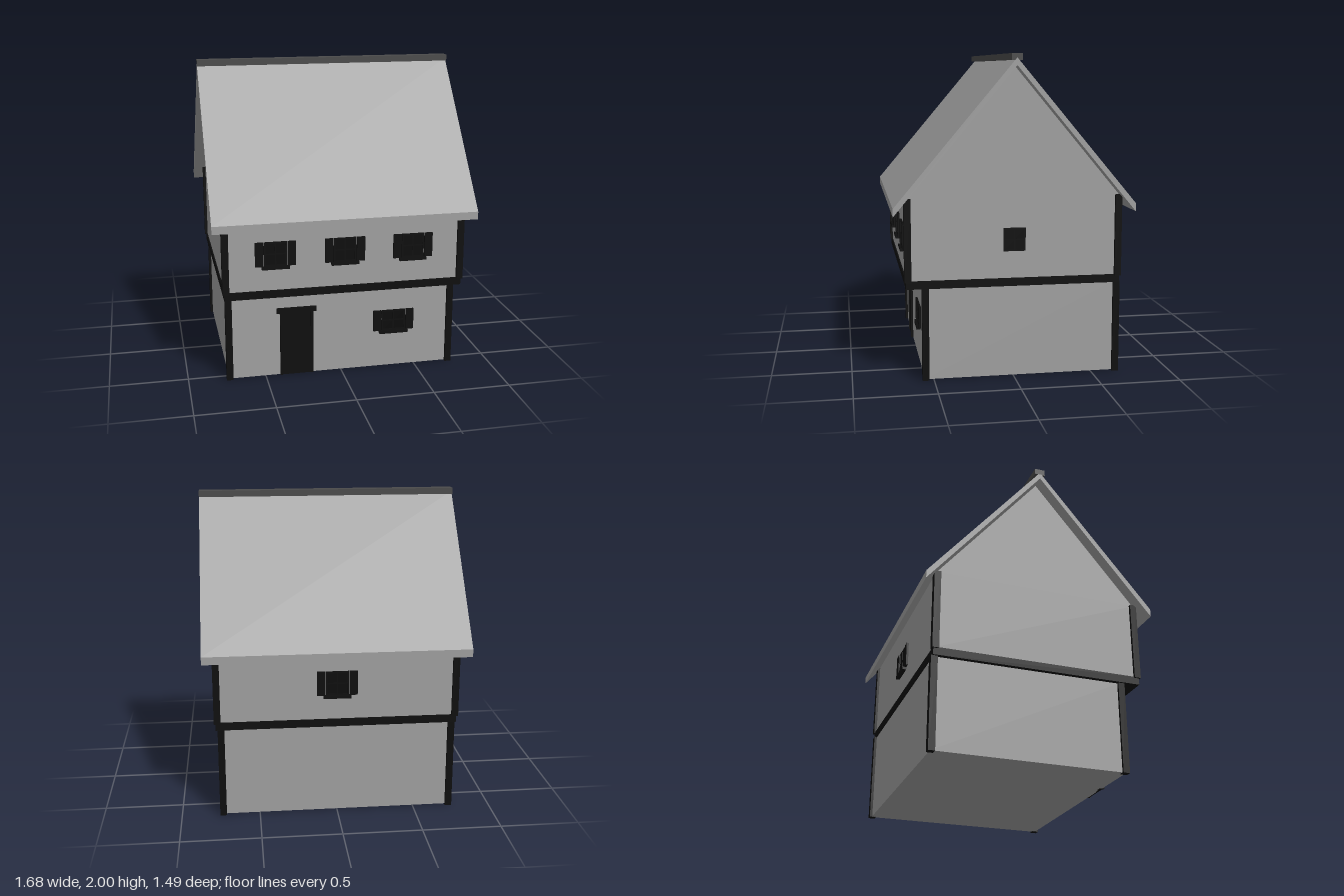
import * as THREE from 'three';

export function createModel() {
  const house = new THREE.Group();
  house.name = 'house';
  const mat = (name, color) => Object.assign(new THREE.MeshStandardMaterial({ color }), { name });
  const plaster = mat('plaster', 0xa0a0a0);
  const roofing = mat('roofing', 0xa0a0a0);
  const ridgeGrey = mat('ridge grey', 0x4a4a4a);
  const timber = mat('dark timber', 0x0e0e0e);
  const glass = mat('dark glass', 0x0b0b0b);

  const add = (parent, name, geometry, material) => {
    const mesh = new THREE.Mesh(geometry, material);
    mesh.name = name;
    parent.add(mesh);
    return mesh;
  };
  // box given by its limits on each axis
  const box = (parent, name, material, [x0, x1], [y0, y1], [z0, z1]) => {
    const mesh = add(parent, name, new THREE.BoxGeometry(x1 - x0, y1 - y0, z1 - z0), material);
    mesh.position.set((x0 + x1) / 2, (y0 + y1) / 2, (z0 + z1) / 2);
    return mesh;
  };
  // symmetric (z, y) profile extruded along x
  const prism = (name, material, points, halfLength) => {
    const shape = new THREE.Shape(points.map(([z, y]) => new THREE.Vector2(z, y)));
    const geometry = new THREE.ExtrudeGeometry(shape, { depth: 2 * halfLength, bevelEnabled: false });
    geometry.translate(0, 0, -halfLength).rotateY(Math.PI / 2);
    return add(house, name, geometry, material);
  };

  // storeys, with the upper one overhanging at the front
  box(house, 'lowerWalls', plaster, [-0.74, 0.74], [0.005, 0.59], [-0.66, 0.555]);
  box(house, 'floorBeam', timber, [-0.768, 0.768], [0.582, 0.632], [-0.668, 0.668]);
  box(house, 'upperWalls', plaster, [-0.76, 0.76], [0.632, 1.137], [-0.66, 0.66]);

  // corner posts
  for (const s of [-1, 1]) {
    for (const z of [0.55, -0.656])
      box(house, 'lowerPost', timber, [s * 0.735 - 0.021, s * 0.735 + 0.021], [0, 0.585], [z - 0.021, z + 0.021]);
    for (const z of [0.656, -0.656])
      box(house, 'upperPost', timber, [s * 0.757 - 0.021, s * 0.757 + 0.021], [0.625, 1.137], [z - 0.021, z + 0.021]);
  }

  // gables and roof
  prism('gable', plaster, [[-0.66, 1.137], [0.66, 1.137], [0, 1.925]], 0.76);
  prism('roof', roofing, [
    [0.745, 1.09], [0, 1.975], [-0.745, 1.09], [-0.745, 1.04], [0, 1.93], [0.745, 1.04],
  ], 0.84);
  box(house, 'ridgeCap', ridgeGrey, [-0.84, 0.84], [1.96, 2], [-0.034, 0.034]);

  // window facing +z, its origin at the wall surface and the pane centre
  function makeWindow(name, w, h, shuttered = true) {
    const g = new THREE.Group();
    g.name = name;
    box(g, 'pane', glass, [-w, w], [-h, h], [-0.01, 0.006]);
    for (const s of [-1, 1]) {
      box(g, 'frameSide', timber, [s * (w - 0.005) - 0.005, s * (w - 0.005) + 0.005], [-h, h], [-0.01, 0.01]);
      box(g, 'frameRail', timber, [-w, w], [s * (h - 0.005) - 0.005, s * (h - 0.005) + 0.005], [-0.01, 0.01]);
    }
    box(g, 'mullion', timber, [-0.004, 0.004], [-h, h], [-0.01, 0.009]);
    box(g, 'crossbar', timber, [-w, w], [-0.004, 0.004], [-0.01, 0.009]);
    if (shuttered) {
      for (const s of [-1, 1]) {
        const c = s * (w + 0.03);
        box(g, 'shutter', timber, [c - 0.026, c + 0.026], [-h, h], [-0.005, 0.014]);
      }
      box(g, 'sill', timber, [-w - 0.016, w + 0.016], [-h - 0.018, -h], [-0.01, 0.026]);
    }
    house.add(g);
    return g;
  }
  for (const x of [-0.444, -0.002, 0.44]) makeWindow('upperWindow', 0.072, 0.078).position.set(x, 0.87, 0.66);
  makeWindow('lowerWindow', 0.08, 0.07).position.set(0.351, 0.327, 0.555);
  const back = makeWindow('backWindow', 0.072, 0.078);
  back.position.set(0, 0.87, -0.66);
  back.rotation.y = Math.PI;
  const side = makeWindow('sideWindow', 0.069, 0.072, false);
  side.position.set(0.76, 0.873, 0);
  side.rotation.y = Math.PI / 2;

  // door with frame and lintel
  const door = new THREE.Group();
  door.name = 'door';
  house.add(door);
  box(door, 'doorLeaf', timber, [-0.39, -0.203], [0.005, 0.44], [0.54, 0.563]);
  for (const x of [-0.397, -0.196])
    box(door, 'doorJamb', timber, [x - 0.008, x + 0.008], [0.005, 0.44], [0.54, 0.57]);
  box(door, 'lintel', timber, [-0.427, -0.167], [0.435, 0.466], [0.54, 0.576]);

  return house;
}
